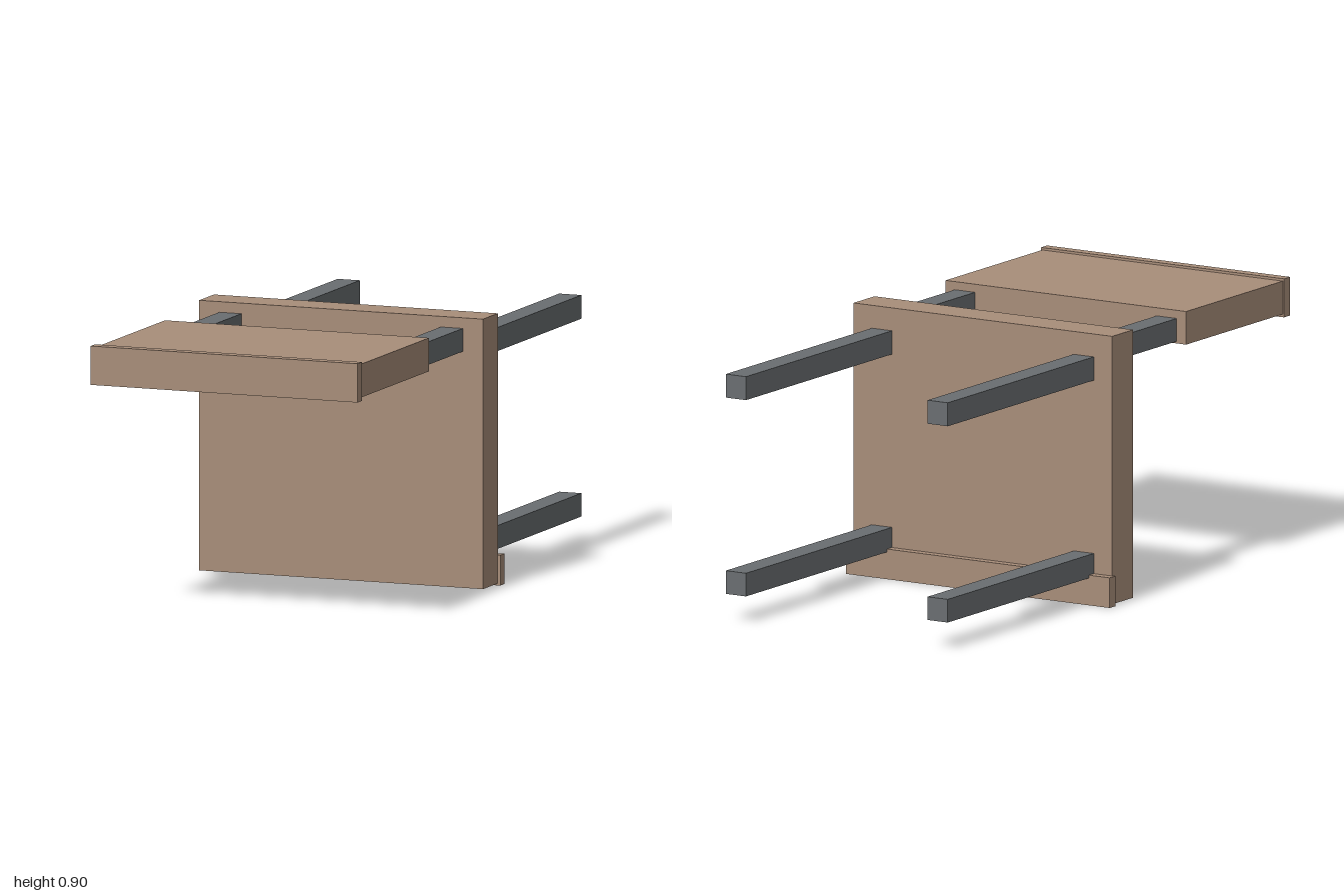
import * as THREE from 'three';

export function createModel() {
  const model = new THREE.Group();
  model.name = 'chairOnItsBack';

  const wood = new THREE.MeshStandardMaterial({ color: 0xa88e7a });
  wood.name = 'tan wood';
  const metal = new THREE.MeshStandardMaterial({ color: 0x6a6e71 });
  metal.name = 'dark grey metal';

  // Box given by its extents along each axis
  function box(name, material, [x0, x1], [y0, y1], [z0, z1]) {
    const geometry = new THREE.BoxGeometry(x1 - x0, y1 - y0, z1 - z0);
    const mesh = new THREE.Mesh(geometry, material);
    mesh.name = name;
    mesh.position.set((x0 + x1) / 2, (y0 + y1) / 2, (z0 + z1) / 2);
    model.add(mesh);
  }

  // Upright seat slab with its edge trim
  box('seat', wood, [-0.5, 0.5], [0.006, 0.896], [-0.12, 0.007]);
  box('seatTrim', wood, [-0.51, 0.51], [0, 0.1], [-0.15, -0.116]);

  // Backrest panel with its end trim
  box('backrest', wood, [-0.465, 0.465], [0.778, 0.888], [0.38, 0.975]);
  box('backrestTrim', wood, [-0.47, 0.47], [0.768, 0.896], [0.963, 1]);

  // Legs and backrest posts, mirrored left and right
  for (const [side, s] of [['left', 1], ['right', -1]]) {
    const x = [s * 0.39 - 0.039, s * 0.39 + 0.039];
    box(side + 'UpperLeg', metal, x, [0.742, 0.82], [-1, -0.11]);
    box(side + 'LowerLeg', metal, x, [0.09, 0.167], [-1, -0.11]);
    box(side + 'BackrestPost', metal, x, [0.785, 0.861], [0, 0.39]);
  }

  return model;
}
